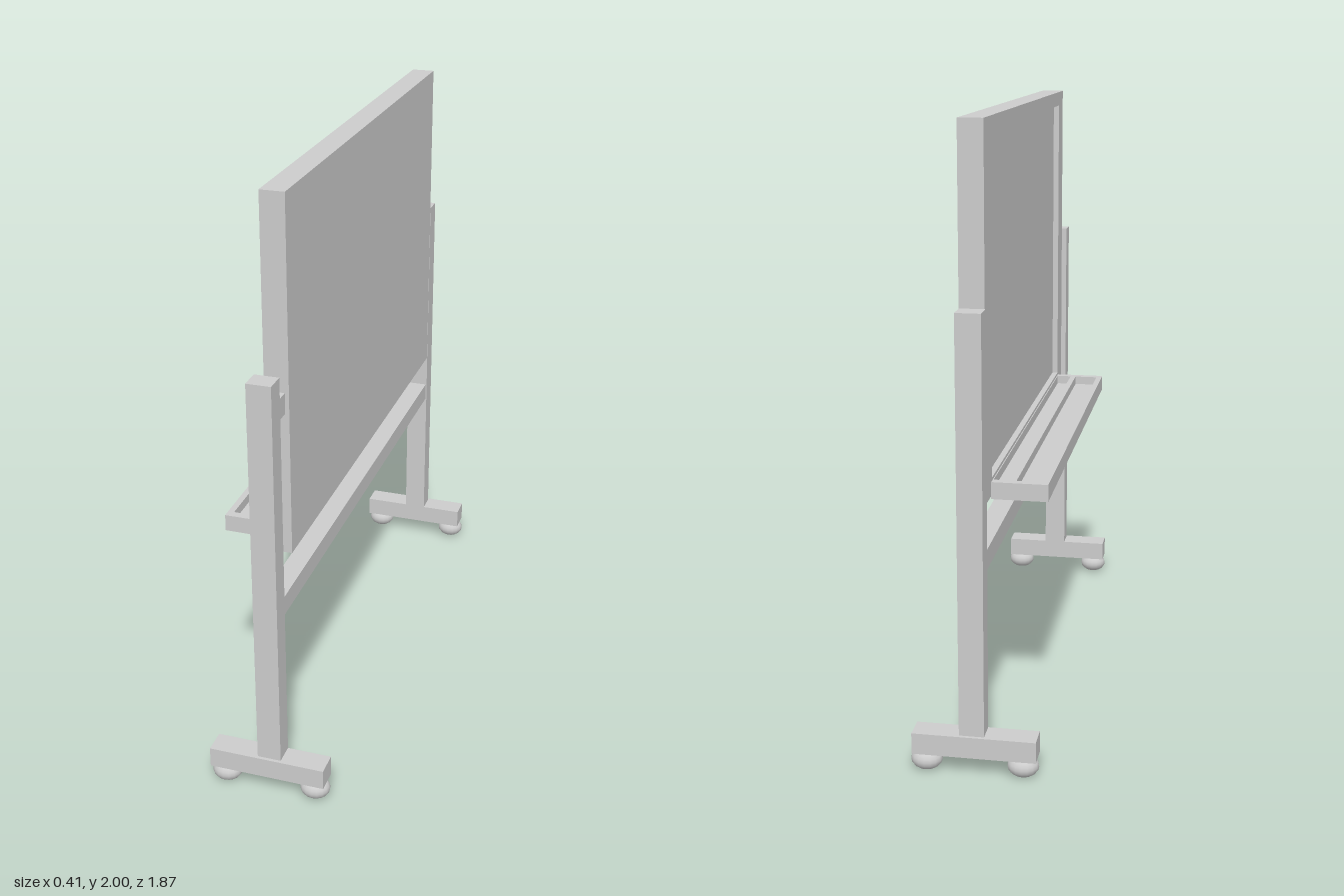
import * as THREE from 'three';

const material = new THREE.MeshStandardMaterial({ color: 0xcccccc });

// Box given by its extents along each axis
function box(parent, name, [x0, x1], [y0, y1], [z0, z1]) {
  const mesh = new THREE.Mesh(new THREE.BoxGeometry(x1 - x0, y1 - y0, z1 - z0), material);
  mesh.position.set((x0 + x1) / 2, (y0 + y1) / 2, (z0 + z1) / 2);
  mesh.name = name;
  parent.add(mesh);
}

// Rectangular path, used for outlines and openings
function rect(PathType, x0, x1, y0, y1) {
  return new PathType([[x0, y0], [x1, y0], [x1, y1], [x0, y1]].map(p => new THREE.Vector2(...p)));
}

export function createModel() {
  const model = new THREE.Group();
  model.name = 'rollingBoard';

  // Board: solid back plus a raised frame around the writing surface (facing -x)
  const board = new THREE.Group();
  board.name = 'board';
  model.add(board);
  box(board, 'boardPanel', [-0.005, 0.053], [0.845, 2], [-0.8, 0.8]);
  const frameShape = rect(THREE.Shape, -0.8, 0.8, 0.845, 2);
  frameShape.holes.push(rect(THREE.Path, -0.7, 0.7, 0.9, 1.95));
  const frameGeometry = new THREE.ExtrudeGeometry(frameShape, { depth: 0.02, bevelEnabled: false });
  frameGeometry.rotateY(-Math.PI / 2).translate(-0.005, 0, 0);
  const frame = new THREE.Mesh(frameGeometry, material);
  frame.name = 'boardFrame';
  board.add(frame);

  // Tray: floor plus a rim with two long compartments
  const tray = new THREE.Group();
  tray.name = 'tray';
  model.add(tray);
  box(tray, 'trayFloor', [-0.203, -0.025], [0.835, 0.86], [-0.715, 0.715]);
  const rimShape = rect(THREE.Shape, -0.203, -0.025, -0.715, 0.715);
  rimShape.holes.push(
    rect(THREE.Path, -0.183, -0.1, -0.688, 0.688),
    rect(THREE.Path, -0.08, -0.028, -0.688, 0.688),
  );
  const rimGeometry = new THREE.ExtrudeGeometry(rimShape, { depth: 0.03, bevelEnabled: false });
  rimGeometry.rotateX(-Math.PI / 2).translate(0, 0.86, 0);
  const rim = new THREE.Mesh(rimGeometry, material);
  rim.name = 'trayRim';
  tray.add(rim);

  // Stand: crossbar between two mirrored uprights on wheeled feet
  box(model, 'crossbar', [-0.03, 0.038], [0.64, 0.705], [-0.85, 0.85]);
  const casterGeometry = new THREE.SphereGeometry(1, 16, 10);
  for (const side of [1, -1]) {
    const span = (a, b) => (side > 0 ? [a, b] : [-b, -a]);
    const stand = new THREE.Group();
    stand.name = side > 0 ? 'frontStand' : 'rearStand';
    model.add(stand);
    box(stand, 'post', [-0.037, 0.042], [0.13, 1.457], span(0.847, 0.916));
    box(stand, 'pivotBracket', [0.005, 0.04], [1.32, 1.387], span(0.8, 0.847));
    box(stand, 'foot', [-0.2, 0.19], [0.063, 0.132], span(0.847, 0.927));
    for (const x of [-0.155, 0.15]) {
      const caster = new THREE.Mesh(casterGeometry, material);
      caster.scale.set(0.05, 0.035, 0.044);
      caster.position.set(x, 0.035, side * 0.889);
      caster.name = 'caster';
      stand.add(caster);
    }
  }
  return model;
}
